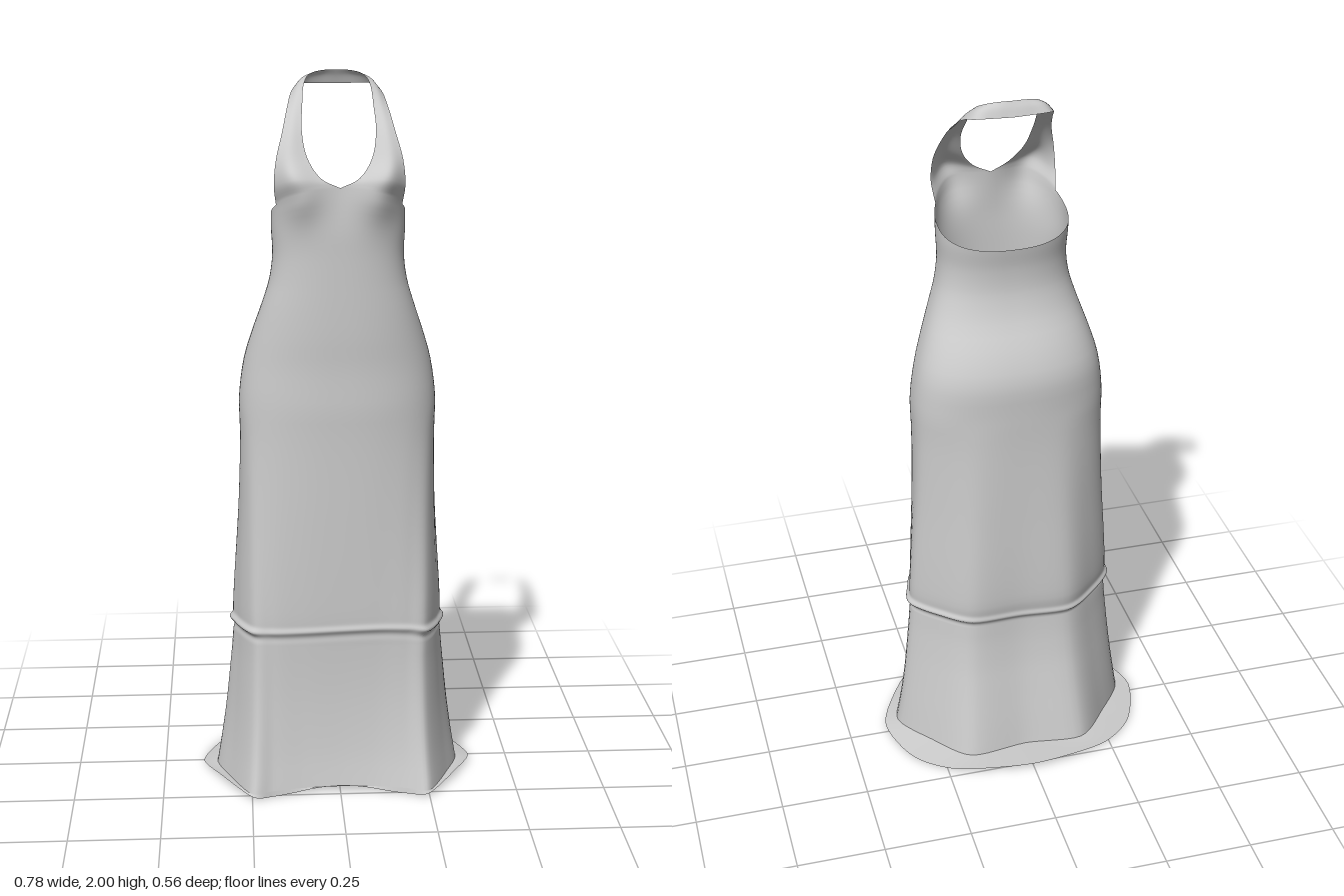
import * as THREE from 'three';
import { mergeGeometries, mergeVertices } from 'three/addons/utils/BufferGeometryUtils.js';

const N = 96;          // columns around the body
const STRAP = 18;      // columns from centre front to the armhole

// Height, half width, front z, back z
const PROFILE = [
  [0.015, 0.348, 0.272, -0.19], [0.1, 0.335, 0.252, -0.172], [0.2, 0.322, 0.236, -0.15],
  [0.3, 0.312, 0.226, -0.13], [0.42, 0.302, 0.222, -0.118], [0.5, 0.302, 0.226, -0.13],
  [0.6, 0.297, 0.225, -0.13], [0.8, 0.284, 0.22, -0.122], [1.0, 0.275, 0.214, -0.115],
  [1.12, 0.272, 0.212, -0.114], [1.22, 0.258, 0.21, -0.113], [1.3, 0.235, 0.213, -0.085],
  [1.38, 0.208, 0.214, -0.042], [1.45, 0.187, 0.214, -0.022], [1.52, 0.178, 0.214, -0.02],
  [1.6, 0.181, 0.214, -0.032], [1.72, 0.178, 0.205, -0.035],
];

// Smooth cubic lookup in the profile
function profile(y, k) {
  const P = PROFILE, n = P.length - 1;
  let i = 0;
  while (i < n - 1 && y > P[i + 1][0]) i++;
  const slope = (j) => {
    const a = P[Math.max(j - 1, 0)], b = P[Math.min(j + 1, n)];
    return (b[k] - a[k]) / (b[0] - a[0]);
  };
  const h = P[i + 1][0] - P[i][0], t = THREE.MathUtils.clamp((y - P[i][0]) / h, 0, 1);
  const t2 = t * t, t3 = t2 * t;
  return (2 * t3 - 3 * t2 + 1) * P[i][k] + (t3 - 2 * t2 + t) * h * slope(i)
    + (3 * t2 - 2 * t3) * P[i + 1][k] + (t3 - t2) * h * slope(i + 1);
}

// Closed outline from half the points (centre front to centre back)
function outline(half) {
  const mirrored = half.slice(1, -1).reverse().map(([x, z]) => [-x, z]);
  return new THREE.CatmullRomCurve3(
    [...half, ...mirrored].map(([x, z]) => new THREE.Vector3(x, 0, z)), true, 'catmullrom', 0.4);
}
const hem = outline([[0, 0.232], [0.1, 0.238], [0.19, 0.256], [0.25, 0.272], [0.31, 0.15],
  [0.348, 0.03], [0.27, -0.085], [0.17, -0.19], [0, -0.176]]);
const flare = outline([[0, 0.235], [0.1, 0.241], [0.19, 0.258], [0.252, 0.275], [0.335, 0.15],
  [0.388, 0.02], [0.335, -0.135], [0.215, -0.235], [0, -0.277]]);

const gauss = (d, w) => Math.exp(-(d * d) / (w * w));
const soften = (v) => Math.sign(v) * Math.abs(v) ** 0.85;

// Point on the body: round at the torso, folded towards the hem
function bodyPoint(u, y) {
  const a = u * Math.PI * 2;
  const w = profile(y, 1), zf = profile(y, 2), zb = profile(y, 3);
  const zc = (zf + zb) / 2, zd = (zf - zb) / 2;
  const fold = Math.max(0, 1 - y / 1.1) ** 0.8;
  const h = hem.getPoint(u);
  let x = THREE.MathUtils.lerp(w * soften(Math.sin(a)), (h.x / 0.348) * w, fold);
  let z = THREE.MathUtils.lerp(zc + zd * soften(Math.cos(a)), zc + zd * (h.z - 0.041) / 0.231, fold);
  // Raised seam with a shallow groove on each side
  const seamY = 0.463 + 0.012 * Math.cos(a) + 0.004 * Math.sin(a * 3);
  const s = 1 + 0.035 * gauss(y - seamY, 0.009) - 0.012 * gauss(y - seamY + 0.02, 0.01);
  x *= s;
  z = zc + (z - zc) * s;
  // Bust
  if (Math.cos(a) > 0) z += 0.04 * gauss(Math.abs(x) - 0.11, 0.06) * gauss(y - 1.7, 0.075);
  return new THREE.Vector3(x, y, z);
}

// Upper edge of the body: neckline, armhole, then low back
function topEdge(u) {
  const d = Math.min(u, 1 - u), uS = STRAP / N;
  if (d <= uS) return 1.71 - 0.05 * (d / uS) ** 2;
  const t = (d - uS) / (0.5 - uS);
  return 1.585 + 0.075 * (1 - t) ** 2;
}

// Grid surface from a point function f(row, column)
function grid(rows, cols, f, flip = false) {
  const pos = [], idx = [];
  for (let i = 0; i <= rows; i++) for (let j = 0; j <= cols; j++) pos.push(...f(i, j).toArray());
  for (let i = 0; i < rows; i++) for (let j = 0; j < cols; j++) {
    const a = i * (cols + 1) + j, b = a + 1, c = a + cols + 1, d = c + 1;
    idx.push(...(flip ? [a, d, b, a, c, d] : [a, b, d, a, d, c]));
  }
  const g = new THREE.BufferGeometry();
  g.setAttribute('position', new THREE.Float32BufferAttribute(pos, 3));
  g.setIndex(idx);
  return g;
}

// Halter strap: inner edge, middle, outer edge of each section
const STRAP_SECTIONS = [
  [[0.05, 1.735, 0.208], [0.122, 1.735, 0.232], [0.174, 1.715, 0.178]],
  [[0.085, 1.785, 0.182], [0.132, 1.785, 0.194], [0.168, 1.78, 0.174]],
  [[0.098, 1.85, 0.142], [0.126, 1.852, 0.146], [0.15, 1.85, 0.136]],
  [[0.095, 1.912, 0.088], [0.116, 1.91, 0.089], [0.136, 1.905, 0.08]],
  [[0.088, 1.968, 0.035], [0.106, 1.961, 0.028], [0.121, 1.947, 0.015]],
  [[0.07, 1.991, -0.003], [0.087, 1.982, -0.015], [0.1, 1.962, -0.028]],
  [[0.036, 1.999, -0.017], [0.044, 1.985, -0.027], [0.053, 1.963, -0.036]],
  [[0, 2.0, -0.02], [0, 1.984, -0.029], [0, 1.962, -0.038]],
];

function strapGeometry(side) {
  const across = STRAP_SECTIONS.map((s) =>
    new THREE.CatmullRomCurve3(s.map((p) => new THREE.Vector3(...p))));
  const columns = [];
  for (let j = 0; j <= STRAP; j++) {
    const u = j / N;
    columns.push(new THREE.CatmullRomCurve3(
      [bodyPoint(u, topEdge(u)), ...across.map((c) => c.getPoint(j / STRAP))]));
  }
  const rows = 40;
  return grid(rows, STRAP, (i, j) => {
    const p = columns[j].getPoint(i / rows);
    p.x *= side;
    return p;
  }, side < 0);
}

function gownGeometry() {
  // Row heights, denser around the seam
  const ys = [];
  for (let y = 0.015; y < 0.42; y += 0.027) ys.push(y);
  for (let y = 0.425; y < 0.52; y += 0.004) ys.push(y);
  for (let y = 0.53; y < 1.44; y += 0.03) ys.push(y);
  const fixed = ys.length, upper = 12;
  const body = grid(fixed + upper, N, (i, j) => {
    const u = (j % N) / N;
    const y = i < fixed ? ys[i] : 1.45 + (topEdge(u) - 1.45) * (i - fixed) / upper;
    return bodyPoint(u, y);
  });
  const g = mergeVertices(mergeGeometries([body, strapGeometry(1), strapGeometry(-1)]), 1e-4);
  g.computeVertexNormals();
  return g;
}

// Flat train spreading from the hem to the sides and back
function trainGeometry() {
  const g = grid(4, N, (i, j) => {
    const u = (j % N) / N, t = i / 4;
    const p = bodyPoint(u, 0.015).lerp(flare.getPoint(u), t);
    const wave = 0.009 + 0.009 * Math.cos(u * Math.PI * 8);
    p.y = THREE.MathUtils.lerp(0.015, wave, t);
    return p;
  }, true);
  g.computeVertexNormals();
  return g;
}

export function createModel() {
  const model = new THREE.Group();
  model.name = 'halterGown';
  const cloth = new THREE.MeshStandardMaterial({ color: 0xcccccc, side: THREE.DoubleSide });
  const add = (name, geometry) => {
    const mesh = new THREE.Mesh(geometry, cloth);
    mesh.name = name;
    model.add(mesh);
  };
  add('gownBody', gownGeometry());
  add('hemTrain', trainGeometry());
  return model;
}
